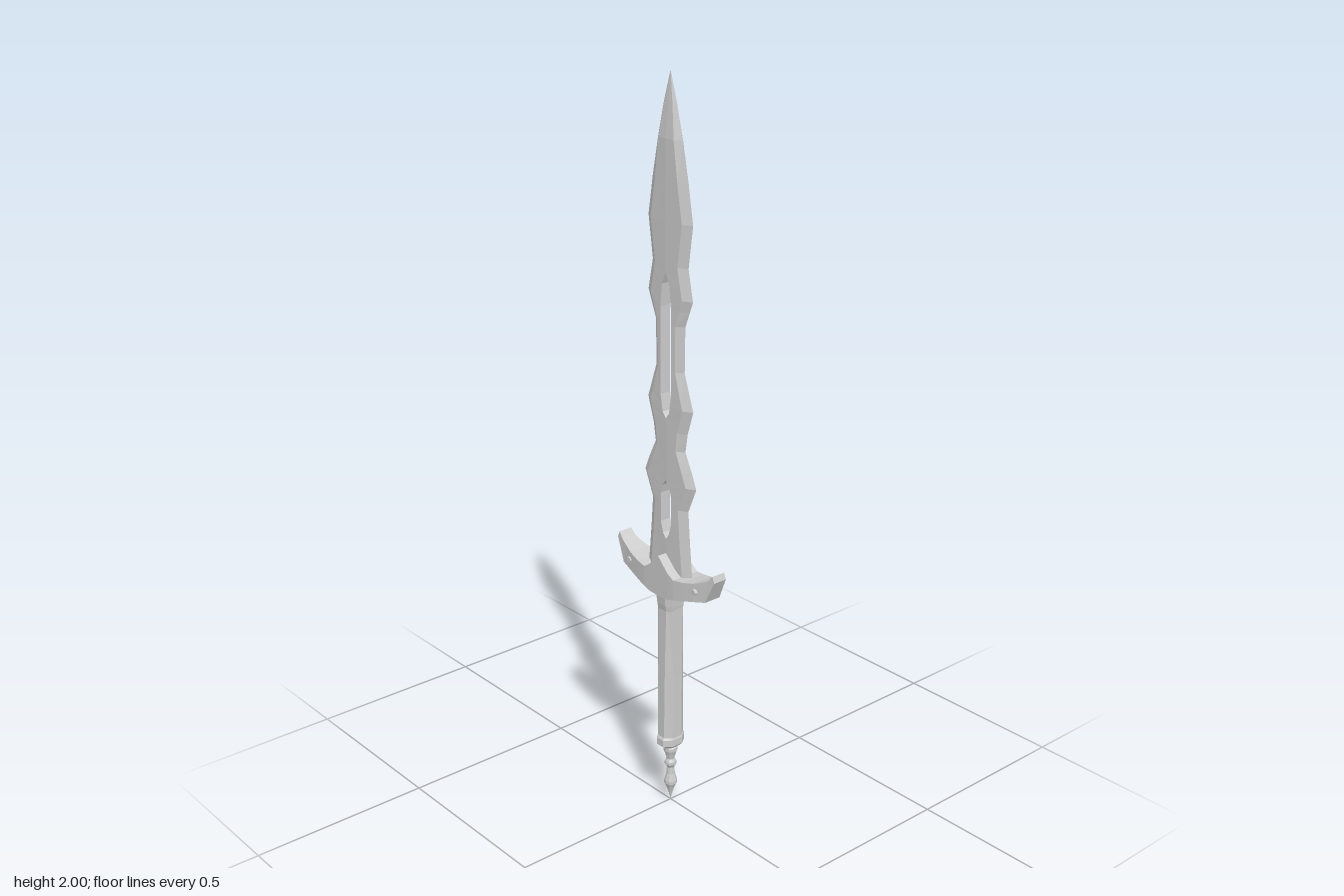
import * as THREE from 'three';

const material = new THREE.MeshStandardMaterial({ color: 0xcccccc, flatShading: true });

function addMesh(parent, name, geometry) {
  const mesh = new THREE.Mesh(geometry, material);
  mesh.name = name;
  parent.add(mesh);
  return mesh;
}

// Joins equal-sized rings of [x, y, z] points; the winding is turned outward by signed volume.
function loft(rings, capped = true) {
  const tris = [];
  const n = rings[0].length;
  for (let i = 0; i + 1 < rings.length; i++) {
    for (let j = 0; j < n; j++) {
      const k = (j + 1) % n;
      const a = rings[i][j], b = rings[i][k], c = rings[i + 1][k], d = rings[i + 1][j];
      // faces lying in the middle plane are internal
      if ([a, b, c, d].every((p) => p[0] === 0)) continue;
      tris.push([a, b, c], [a, c, d]);
    }
  }
  if (capped) {
    const first = rings[0], last = rings[rings.length - 1];
    for (let j = 1; j + 1 < n; j++) {
      tris.push([first[0], first[j + 1], first[j]], [last[0], last[j], last[j + 1]]);
    }
  }
  const v = (p) => new THREE.Vector3(...p);
  let volume = 0;
  for (const [a, b, c] of tris) volume += v(a).dot(v(b).cross(v(c)));
  if (volume < 0) tris.forEach((t) => t.reverse());
  const geometry = new THREE.BufferGeometry();
  geometry.setAttribute('position', new THREE.Float32BufferAttribute(tris.flat(2), 3));
  geometry.computeVertexNormals();
  return geometry;
}

// Straight-line lookup in a table of [position, value]
function lookup(table, t) {
  if (t <= table[0][0]) return table[0][1];
  for (let i = 1; i < table.length; i++) {
    const [t0, v0] = table[i - 1], [t1, v1] = table[i];
    if (t <= t1) return v0 + ((v1 - v0) * (t - t0)) / (t1 - t0);
  }
  return table[table.length - 1][1];
}

// Half-widths of the wavy cutting edge and of the two slots, by height
const edge = [
  [0.66, 0.086], [0.71, 0.086], [0.8, 0.077], [0.89, 0.07], [0.96, 0.1], [1.0, 0.083],
  [1.05, 0.058], [1.1, 0.066], [1.165, 0.087], [1.26, 0.054], [1.38, 0.056], [1.45, 0.084],
  [1.53, 0.067], [1.64, 0.083], [1.74, 0.066], [1.84, 0.045], [1.92, 0.025], [2, 0],
];
const slot = [
  [0.795, 0], [0.81, 0.011], [0.84, 0.02], [0.92, 0.02], [0.945, 0.013], [0.96, 0],
  [1.13, 0], [1.145, 0.012], [1.19, 0.02], [1.42, 0.02], [1.48, 0.014], [1.51, 0],
];

function bladeHalf(side) {
  const heights = [...new Set([...edge, ...slot].map((p) => p[0]))].sort((a, b) => a - b);
  return loft(heights.map((y) => {
    const e = lookup(edge, y), s = lookup(slot, y) * side;
    const f = Math.max(e - 0.025, e * 0.62) * side;
    const taper = Math.min(1, (2 - y) / 0.16);
    const zc = 0.016 * taper, zf = 0.0145 * taper;
    return [[s, y, zc], [f, y, zf], [e * side, y, 0], [f, y, -zf], [s, y, -zc]];
  }), false);
}

// Guard stations: bottom x, bottom y, top x, top y, half-depth
const guardStations = [
  [0, 0.64, 0, 0.755, 0.043], [0.037, 0.642, 0.037, 0.718, 0.043],
  [0.06, 0.648, 0.058, 0.705, 0.042], [0.09, 0.656, 0.09, 0.709, 0.038],
  [0.125, 0.665, 0.125, 0.717, 0.032], [0.164, 0.675, 0.155, 0.729, 0.025],
  [0.18, 0.71, 0.172, 0.738, 0.022], [0.193, 0.738, 0.186, 0.755, 0.02],
];

function guardGeometry() {
  const left = guardStations.slice(1).reverse().map(([a, b, c, d, z]) => [-a, b, -c, d, z]);
  return loft([...left, ...guardStations].map(([xb, yb, xt, yt, z]) =>
    [[xb, yb, z], [xt, yt, z], [xt, yt, -z], [xb, yb, -z]]));
}

// Eight-sided sections: height, half-width, half-depth
function octagons(rows) {
  return loft(rows.map(([y, w, d]) => {
    const a = w * 0.45, b = d * 0.45;
    return [[w, y, b], [a, y, d], [-a, y, d], [-w, y, b],
      [-w, y, -b], [-a, y, -d], [a, y, -d], [w, y, -b]];
  }));
}

export function createModel() {
  const sword = new THREE.Group();
  sword.name = 'sword';

  // Blade
  const blade = new THREE.Group();
  blade.name = 'blade';
  sword.add(blade);
  addMesh(blade, 'bladeLeftHalf', bladeHalf(1));
  addMesh(blade, 'bladeRightHalf', bladeHalf(-1));

  // Guard with rivets on both faces
  addMesh(sword, 'guard', guardGeometry());
  for (const x of [-0.13, 0.13]) {
    for (const z of [-1, 1]) {
      const rivet = addMesh(sword, 'rivet', new THREE.CylinderGeometry(0.008, 0.01, 0.008, 8));
      rivet.position.set(x, 0.695, z * 0.032);
      rivet.rotation.x = (z * Math.PI) / 2;
    }
  }

  // Grip, its collar below the guard and its end cap
  addMesh(sword, 'grip', octagons([[0.2, 0.027, 0.034], [0.4, 0.03, 0.032], [0.65, 0.036, 0.028]]));
  addMesh(sword, 'collar', octagons([[0.59, 0.033, 0.028], [0.61, 0.036, 0.032], [0.65, 0.039, 0.036]]));
  addMesh(sword, 'gripCap', octagons([[0.175, 0.02, 0.026], [0.185, 0.029, 0.038], [0.205, 0.029, 0.038], [0.213, 0.026, 0.033]]));

  // Turned pommel ending in a point
  const profile = [
    [0, 0], [0.006, 0.025], [0.011, 0.04], [0.018, 0.055], [0.018, 0.064], [0.012, 0.085],
    [0.01, 0.105], [0.016, 0.115], [0.016, 0.123], [0.011, 0.132], [0.015, 0.148],
    [0.019, 0.158], [0.019, 0.168], [0.014, 0.174], [0.014, 0.18],
  ].map(([r, y]) => new THREE.Vector2(r, y));
  addMesh(sword, 'pommel', new THREE.LatheGeometry(profile, 10));

  return sword;
}
